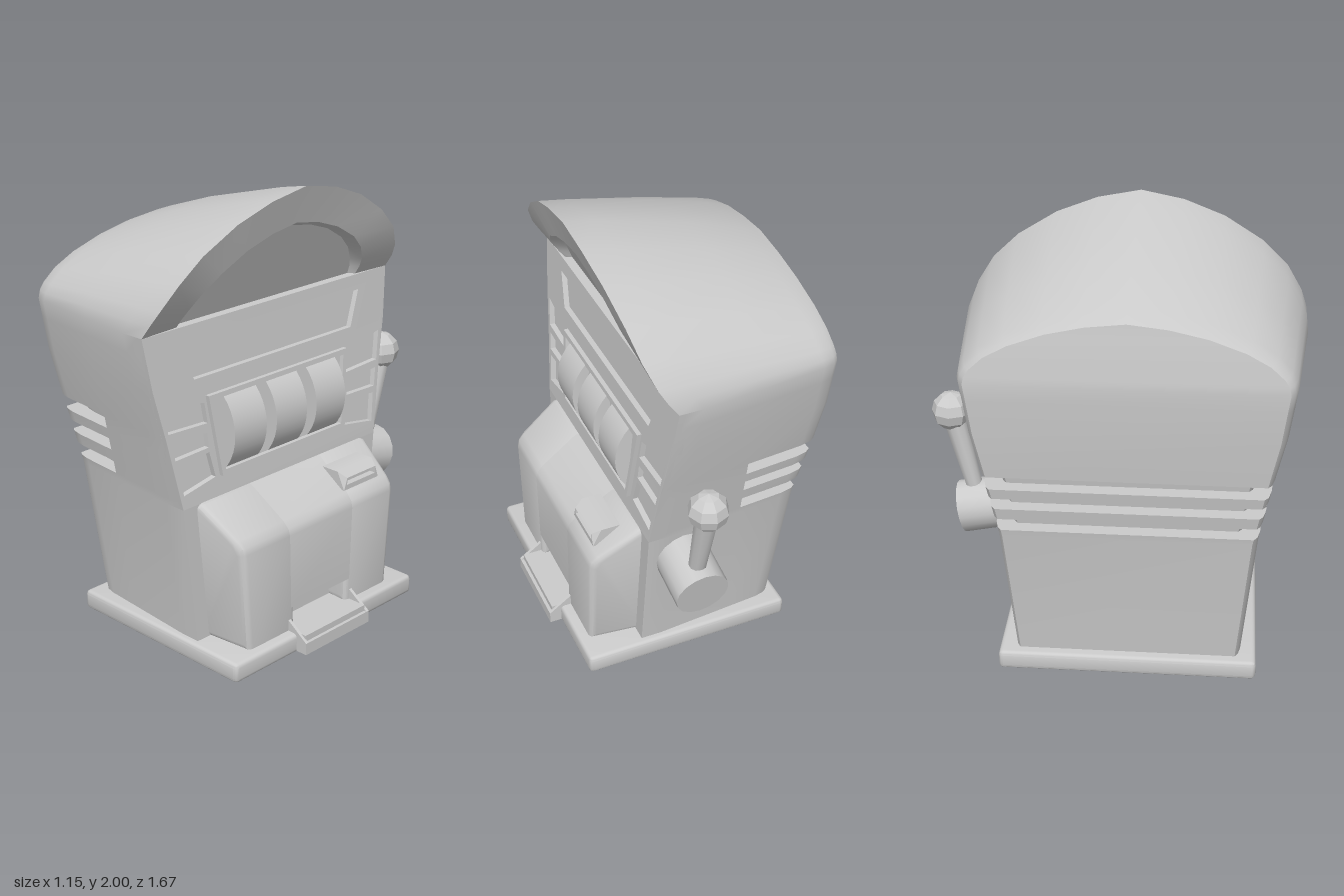
import * as THREE from 'three';
import { toCreasedNormals } from 'three/addons/utils/BufferGeometryUtils.js';
import { RoundedBoxGeometry } from 'three/addons/geometries/RoundedBoxGeometry.js';

// cabinet outline by height: y, half width, front x, back x
const KEYS = [
  [0.09, 0.545, 0.255, -0.405], [0.72, 0.605, 0.245, -0.48], [1.04, 0.665, 0.214, -0.54],
  [1.25, 0.712, 0.194, -0.565], [1.48, 0.745, 0.172, -0.58], [1.54, 0.738, 0.215, -0.577],
  [1.6, 0.715, 0.25, -0.573], [1.7, 0.65, 0.29, -0.567], [1.8, 0.54, 0.312, -0.56],
  [1.9, 0.37, 0.335, -0.552], [1.965, 0.19, 0.352, -0.547], [2, 0, 0.36, -0.545],
];
const HOOD = 1.48, RECESS = 0.025;

function at(y) {
  let i = 0;
  while (i < KEYS.length - 2 && y > KEYS[i + 1][0]) i++;
  const a = KEYS[i], b = KEYS[i + 1];
  const t = THREE.MathUtils.clamp((y - a[0]) / (b[0] - a[0]), 0, 1);
  const [w, xf, xb] = [1, 2, 3].map((k) => a[k] + (b[k] - a[k]) * t);
  return { w, xf, xb };
}

// skin over rows of points; wrap(row) tells whether a row closes on itself
function skin(rows, wrap = () => false) {
  const n = rows[0].length, index = [];
  for (let r = 0; r < rows.length - 1; r++) {
    for (let j = 0; j < (wrap(r) ? n : n - 1); j++) {
      const a = r * n + j, b = r * n + (j + 1) % n;
      index.push(a, a + n, b, b, a + n, b + n);
    }
  }
  const g = new THREE.BufferGeometry();
  g.setAttribute('position', new THREE.Float32BufferAttribute(rows.flat(2), 3));
  g.setIndex(index);
  return g;
}

function warp(g, rule) {
  const p = g.attributes.position, v = new THREE.Vector3();
  for (let i = 0; i < p.count; i++) {
    rule(v.fromBufferAttribute(p, i));
    p.setXYZ(i, v.x, v.y, v.z);
  }
  return g;
}

const poly = (pts) => new THREE.Shape(pts.map(([x, y]) => new THREE.Vector2(x, y)));
const mirrored = (pts) => pts.map(([x, y]) => [-x, y]);
const trapezoid = (topW, top, botW, bot) => [[-botW, bot], [botW, bot], [topW, top], [-topW, top]];

// plate with holes that follows the slope of the front face
function facePlate(outline, holes, depth, sink) {
  const shape = poly(outline);
  shape.holes = holes.map(poly);
  const g = new THREE.ExtrudeGeometry(shape, { depth, bevelEnabled: false });
  g.rotateY(Math.PI / 2);
  return warp(g, (v) => { v.x += at(v.y).xf - sink; });
}

// one horizontal ring of the cabinet shell
function shellRow({ y, inset = 0, recess = 0 }) {
  const { w, xf, xb } = at(y);
  const yb = y > HOOD ? HOOD + (y - HOOD) * 0.27 / 0.52 : y;
  const ts = (-0.2 - xb) / (xf - xb);
  const side = [[1, 0], [0.85, 0], [ts, 0], [ts, 1], [0.1, 1], [0.03, 1], [0, 1]].map(([t, back]) => {
    const x = xb + (xf - xb) * t - (t === 1 ? recess : 0) + (t < 0.2 ? inset : 0);
    const ratio = t < 0.1 ? (t ? 0.91 : 0.885) : 0.92 + 0.08 * Math.min(1, t / 0.85);
    return [x, yb + (y - yb) * (t + 0.35 * t * (1 - t)), Math.max(0, w * ratio - back * inset)];
  });
  return [...side, ...side.slice().reverse().map(([x, h, z]) => [x, h, -z])];
}

function shellGeometry() {
  const specs = [{ y: 0.09 }, { y: 0.72 }, { y: 0.72, recess: RECESS }];
  for (const [lo, hi] of [[0.75, 0.81], [0.865, 0.92], [0.97, 1.035]]) {
    specs.push({ y: lo }, { y: lo, inset: 0.065 }, { y: hi, inset: 0.065 }, { y: hi });
  }
  specs.push({ y: 1.25 }, { y: 1.4 }, { y: HOOD });
  specs.slice(3).forEach((s) => { s.recess = RECESS; });
  const hoodStart = specs.length;
  KEYS.filter((k) => k[0] >= HOOD).forEach((k) => specs.push({ y: k[0] }));
  return skin(specs.map(shellRow), (r) => r < hoodStart);
}

// arched rim and sunken sign panel
function archGeometry() {
  const half = KEYS.filter((k) => k[0] >= HOOD);
  const ring = (fn) => {
    const left = half.map(([y, w, xf]) => fn(y - HOOD, w, xf));
    return [...left, ...left.slice(0, -1).reverse().map(([x, y, z]) => [x, y, -z])];
  };
  return skin([
    ring((h, w, xf) => [xf, HOOD + h, w]),
    ring((h, w) => [at(HOOD + h * 0.69).xf - 0.012, HOOD + h * 0.69, w * 0.735]),
    ring((h, w) => [0.13 + h * 0.27, HOOD + h * 0.655, w * 0.71]),
    ring(() => [0.13, HOOD, 0]),
  ]);
}

export function createModel() {
  const model = new THREE.Group();
  model.name = 'slotMachine';
  const machine = new THREE.Group();
  machine.name = 'machine';
  machine.position.z = 0.0925;
  model.add(machine);
  const material = new THREE.MeshStandardMaterial({ color: 0xcccccc });
  const doubled = new THREE.MeshStandardMaterial({ color: 0xcccccc, side: THREE.DoubleSide });
  const add = (name, geometry, crease = 0.6, mat = material) => {
    const mesh = new THREE.Mesh(toCreasedNormals(geometry, crease), mat);
    mesh.name = name;
    machine.add(mesh);
    return mesh;
  };

  // plinth
  add('base', new RoundedBoxGeometry(0.975, 0.09, 1.155, 2, 0.02).translate(0.0325, 0.045, 0));

  // cabinet with vent slots, and the hood front
  add('cabinet', shellGeometry(), 0.6, doubled);
  add('signArch', archGeometry(), 0.5, doubled);

  // front face with recessed panels
  const edge = KEYS.filter((k) => k[0] >= 0.72 && k[0] <= HOOD).map(([y, w]) => [w, y]);
  const sidePanels = [
    [[0.675, 1.195], [0.44, 1.14], [0.43, 1.05], [0.65, 1.06]],
    [[0.64, 1.025], [0.437, 1.01], [0.435, 0.945], [0.625, 0.94]],
    [[0.615, 0.91], [0.435, 0.925], [0.41, 0.81], [0.595, 0.78]],
  ];
  const holes = [trapezoid(0.55, 1.41, 0.485, 1.25), ...sidePanels, ...sidePanels.map(mirrored)];
  add('frontFace', facePlate([...edge, ...mirrored(edge).reverse()], holes, 0.05, 0.05));
  add('reelFrame', facePlate(trapezoid(0.43, 1.17, 0.385, 0.81),
    [trapezoid(0.405, 1.145, 0.365, 0.835)], 0.03, 0.01));

  // reels
  for (const z of [-0.252, 0, 0.252]) {
    add('reel', new THREE.CylinderGeometry(0.235, 0.235, 0.19, 40).rotateX(Math.PI / 2).translate(0.055, 0.985, z));
  }

  // lower door, in three pieces around the payout opening
  const top = [[0.47, 0.54], [0.462, 0.57], [0.435, 0.6], [0.26, 0.72], [0.2, 0.725]];
  const taper = (v) => {
    v.z *= THREE.MathUtils.lerp(0.905, 1, (v.y - 0.09) / 0.63) * (1 - 0.06 * Math.max(0, (v.x - 0.25) / 0.22));
  };
  for (const start of [0.22, -0.5]) {
    const g = new THREE.ExtrudeGeometry(poly([[0.2, 0.08], [0.47, 0.08], ...top]), {
      depth: 0.28, bevelThickness: 0.03, bevelSize: 0.03, bevelOffset: -0.03, bevelSegments: 3,
    });
    add('lowerDoorSide', warp(g.translate(0, 0, start), taper));
  }
  const middle = new THREE.ExtrudeGeometry(
    poly([[0.2, 0.08], [0.37, 0.08], [0.37, 0.195], [0.47, 0.195], ...top]), { depth: 0.44, bevelEnabled: false });
  add('lowerDoorMiddle', warp(middle.translate(0, 0, -0.22), taper));

  // payout tray
  const cheek = poly([[0.44, 0.01], [0.575, 0.01], [0.575, 0.065], [0.47, 0.14], [0.44, 0.14]]);
  for (const z of [-0.2075, 0.1925]) {
    add('trayCheek', new THREE.ExtrudeGeometry(cheek, { depth: 0.015, bevelEnabled: false }).translate(0, 0, z));
  }
  add('trayFloor', new THREE.BoxGeometry(0.2, 0.085, 0.39).translate(0.46, 0.0525, 0).translate(0, -0.002, 0));
  add('trayLip', new THREE.BoxGeometry(0.02, 0.055, 0.41).translate(0.565, 0.0375, 0));

  // coin slot on the door slope
  const mouth = poly([[-0.115, 0.612], [0.115, 0.612], [0.115, 0.692], [-0.115, 0.692]]);
  mouth.holes.push(poly([[-0.095, 0.635], [0.095, 0.635], [0.095, 0.668], [-0.095, 0.668]]));
  const slot = new THREE.ExtrudeGeometry(mouth, { depth: 0.13, bevelEnabled: false }).rotateY(Math.PI / 2);
  add('coinSlot', warp(slot, (v) => { v.x += v.y > 0.68 && v.x > 0.1 ? 0.26 : 0.3; }).translate(0, 0, -0.305));
  add('coinSlotBack', new THREE.BoxGeometry(0.08, 0.07, 0.22).translate(0.36, 0.65, -0.305));

  // pull lever on the right side
  const rod = (name, from, to, r0, r1, sides) => {
    const a = new THREE.Vector3(...from), b = new THREE.Vector3(...to), d = b.clone().sub(a);
    const mesh = add(name, new THREE.CylinderGeometry(r1, r0, d.length(), sides), 0.7);
    mesh.position.copy(a).add(b).multiplyScalar(0.5);
    mesh.quaternion.setFromUnitVectors(new THREE.Vector3(0, 1, 0), d.normalize());
  };
  rod('leverHub', [0.08, 0.59, -0.51], [0.08, 0.53, -0.805], 0.122, 0.122, 16);
  rod('leverArm', [0.08, 0.6, -0.735], [0.08, 1.0, -0.83], 0.038, 0.052, 10);
  add('leverKnob', new THREE.SphereGeometry(0.09, 8, 6).translate(0.08, 1.03, -0.8375), 0.1);
  return model;
}
